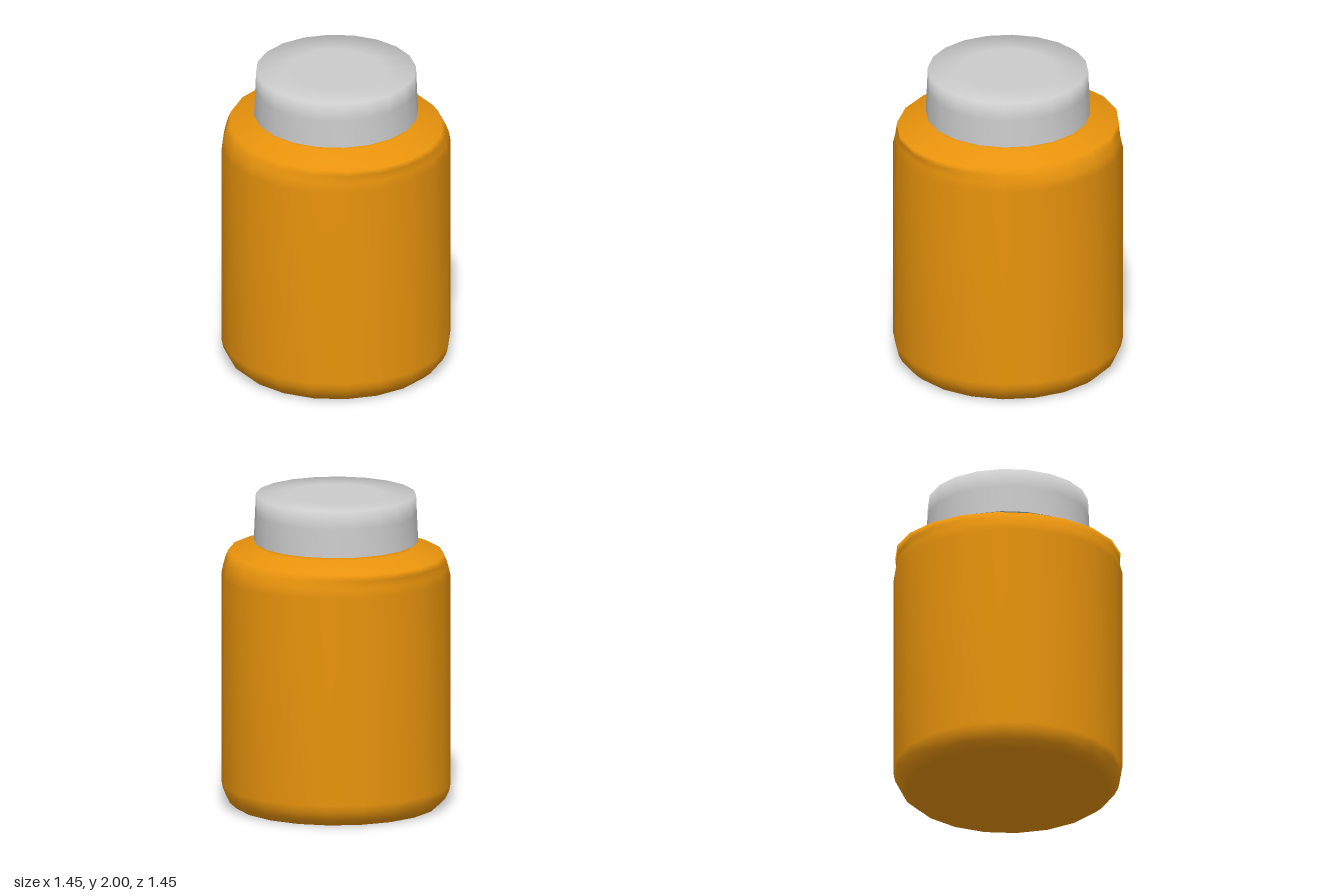
import * as THREE from 'three';
import { mergeVertices } from 'three/addons/utils/BufferGeometryUtils.js';

const SIDES = 20;

// Smooth turned solid; each profile row is [radiusX, y, radiusZ = radiusX]
function turned(name, rows, material) {
  const pts = rows.map(([r, y]) => new THREE.Vector2(r, y));
  let geo = new THREE.LatheGeometry(pts, SIDES);
  const pos = geo.attributes.position;
  for (let i = 0; i < pos.count; i++) {
    const [rx, , rz = rx] = rows[i % rows.length];
    if (rx > 0) pos.setZ(i, pos.getZ(i) * rz / rx);
  }
  geo.deleteAttribute('uv');
  geo.deleteAttribute('normal');
  geo = mergeVertices(geo, 1e-4);
  geo.computeVertexNormals();
  const mesh = new THREE.Mesh(geo, material);
  mesh.name = name;
  return mesh;
}

export function createModel() {
  const group = new THREE.Group();
  group.name = 'bottle';
  const amber = new THREE.MeshStandardMaterial({ color: 0xe8930c });
  const grey = new THREE.MeshStandardMaterial({ color: 0xcccccc });

  // Jar body: rounded foot, straight wall, shoulder a little deeper than wide, neck
  group.add(turned('body', [
    [0, 0], [0.3, 0], [0.645, 0], [0.69, 0.04], [0.715, 0.09], [0.725, 0.14],
    [0.725, 1.48], [0.715, 1.535, 0.71], [0.695, 1.585, 0.71], [0.665, 1.625, 0.718],
    [0.5, 1.675], [0.49, 1.7], [0.49, 1.72],
  ], amber));

  // Cap: slightly tapered wall and flat top
  group.add(turned('cap', [
    [0.52, 1.7], [0.512, 1.88], [0.507, 2], [0.3, 2], [0, 2],
  ], grey));

  // Underside of the cap rim
  const lip = new THREE.Mesh(new THREE.RingGeometry(0.47, 0.52, SIDES), grey);
  lip.name = 'capLip';
  lip.rotation.x = Math.PI / 2;
  lip.position.y = 1.7;
  group.add(lip);

  return group;
}
